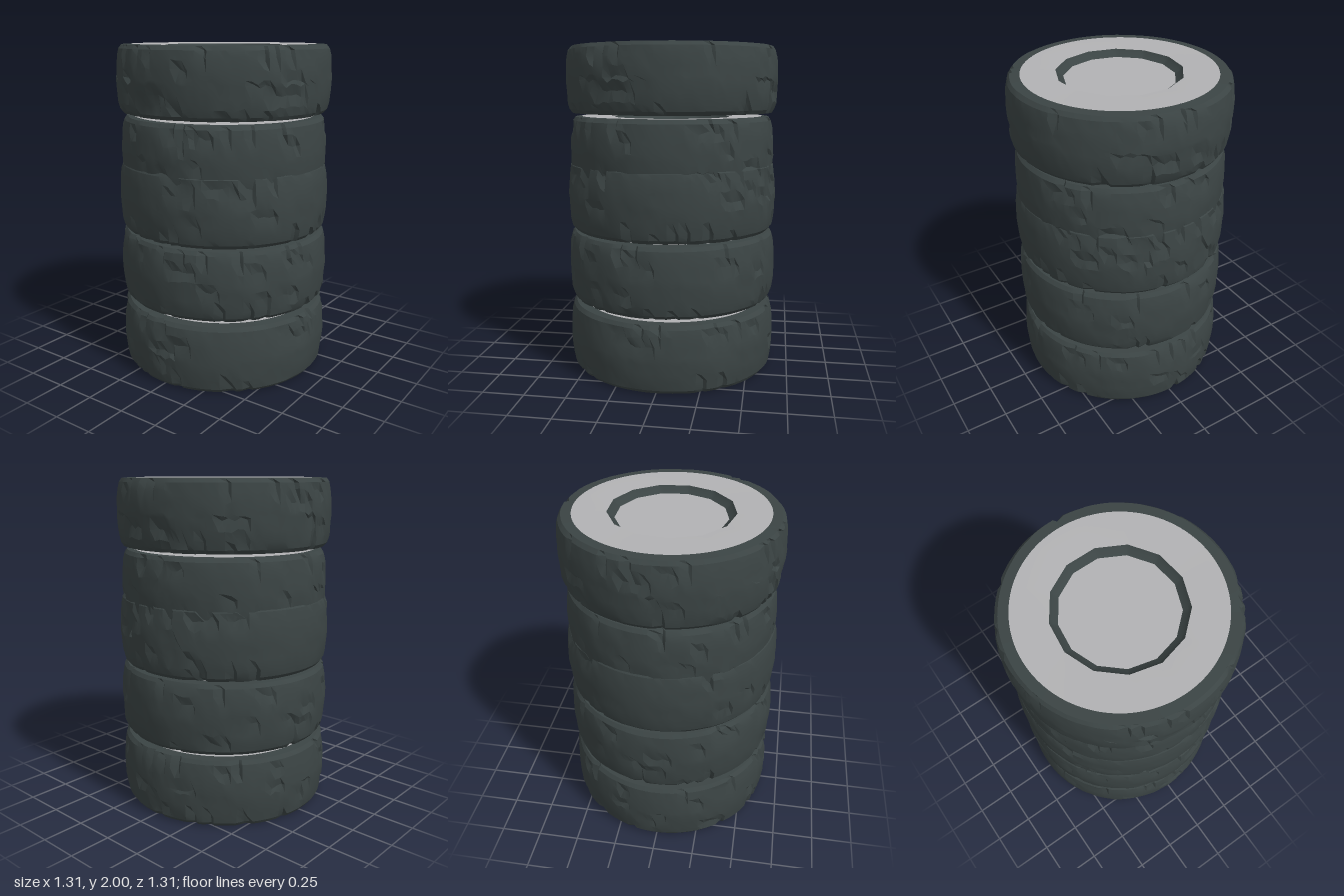
import * as THREE from 'three';
import { toCreasedNormals } from 'three/addons/utils/BufferGeometryUtils.js';

const HUB_SIDES = 13;
const TREAD_COLUMNS = 120;

// Small seeded random generator
function seeded(seed) {
  let s = seed;
  return () => {
    s = (s * 16807) % 2147483647;
    return s / 2147483647;
  };
}

function lathe(points, segments) {
  return new THREE.LatheGeometry(points.map(([r, y]) => new THREE.Vector2(r, y)), segments);
}

// Pulls the hub edge of a lathe into a straight-sided polygon
function polygonHub(geometry) {
  const p = geometry.attributes.position;
  const step = (Math.PI * 2) / HUB_SIDES;
  for (let i = 0; i < p.count; i++) {
    const x = p.getX(i), z = p.getZ(i);
    if (Math.hypot(x, z) > 0.45) continue;
    const a = Math.atan2(x, z) + Math.PI * 2;
    const k = Math.cos(step / 2) / Math.cos((a % step) - step / 2);
    p.setX(i, x * k);
    p.setZ(i, z * k);
  }
  return toCreasedNormals(geometry, 0.4);
}

// Rounded tread with worn dents and narrow cuts
function treadGeometry(radius, h, seed) {
  const rand = seeded(seed);
  const profile = [
    [0.56, 0], [radius - 0.035, 0.003], [radius - 0.018, 0.025], [radius - 0.008, 0.07],
    [radius - 0.003, 0.13], [radius, 0.19], [radius, h - 0.19], [radius - 0.003, h - 0.13],
    [radius - 0.008, h - 0.07], [radius - 0.018, h - 0.025], [radius - 0.035, h - 0.003], [0.56, h],
  ];
  const rows = profile.length;
  const geometry = lathe(profile, TREAD_COLUMNS);
  const depth = new Float32Array(TREAD_COLUMNS * rows);
  const cut = (c, r, d) => {
    if (r > 0 && r < rows - 1) depth[(c % TREAD_COLUMNS) * rows + r] = d;
  };
  // Upright cuts at both shoulders
  for (let n = 0; n < 34; n++) {
    const c = Math.floor(rand() * TREAD_COLUMNS);
    const start = n % 2 ? 1 : rows - 4;
    const length = 2 + Math.floor(rand() * 2);
    for (let k = 0; k < length; k++) cut(c, start + k, 0.012 + rand() * 0.01);
  }
  // Sideways cuts around the middle
  for (let n = 0; n < 22; n++) {
    const c = Math.floor(rand() * TREAD_COLUMNS);
    const r = 3 + Math.floor(rand() * (rows - 6));
    const length = 2 + Math.floor(rand() * 4);
    for (let k = 0; k < length; k++) cut(c + k, r, 0.01 + rand() * 0.008);
  }
  const p = geometry.attributes.position;
  const wobble = Array.from({ length: 24 * rows }, () => rand() * 0.005);
  for (let i = 0; i < p.count; i++) {
    const c = Math.floor(i / rows) % TREAD_COLUMNS, r = i % rows;
    if (r === 0 || r === rows - 1) continue;
    const d = depth[c * rows + r];
    const a = Math.atan2(p.getX(i), p.getZ(i)) + (d ? 0.028 : 0);
    const q = Math.hypot(p.getX(i), p.getZ(i)) - d - wobble[Math.floor(c / 5) * rows + r];
    const lift = r > 2 && r < rows - 3 ? (wobble[((c * 7) % 24) * rows + r] - 0.0025) * 5 : 0;
    p.setXYZ(i, Math.sin(a) * q, p.getY(i) + lift, Math.cos(a) * q);
  }
  return toCreasedNormals(geometry, 0.35);
}

export function createModel() {
  const group = new THREE.Group();
  const rubber = new THREE.MeshStandardMaterial({ color: 0x3b4444 });
  rubber.name = 'dark rubber';
  const grey = new THREE.MeshStandardMaterial({ color: 0xb2b2b4 });
  grey.name = 'light grey';

  function add(parent, name, geometry, material) {
    const mesh = new THREE.Mesh(geometry, material);
    mesh.name = name;
    parent.add(mesh);
    return mesh;
  }

  function makeTyre(name, y0, y1, radius, seed) {
    const tyre = new THREE.Group();
    const h = y1 - y0;
    tyre.name = name;
    tyre.position.y = y0;
    add(tyre, 'tread', treadGeometry(radius, h, seed), rubber);

    // Matching sidewall, hub lip and hub disc on each face
    for (const top of [false, true]) {
      const face = (points, segments = 104) => polygonHub(lathe(
        top ? points.map(([r, y]) => [r, h - y]).reverse() : points, segments));
      const side = top ? 'top' : 'bottom';
      add(tyre, side + 'Sidewall', face([[0.365, 0.006], [0.46, 0.002], [0.56, 0]]), grey);
      add(tyre, side + 'HubLip', face([[0.322, 0.042], [0.35, 0.025], [0.365, 0.006]]), rubber);
      add(tyre, side + 'HubDisc', face([[0, 0.042], [0.322, 0.042]]), grey);
    }
    group.add(tyre);
  }

  // Stack from the ground up; the two middle tyres are pressed into each other
  makeTyre('bottomTyre', 0.005, 0.42, 0.655, 11);
  makeTyre('secondTyre', 0.452, 0.877, 0.655, 207);
  makeTyre('thirdTyre', 0.887, 1.31, 0.653, 3301);
  makeTyre('fourthTyre', 1.16, 1.58, 0.635, 4507);
  makeTyre('topTyre', 1.598, 2, 0.655, 59011);

  // Scrap of rubber wedged in the lowest gap
  const scrap = add(group, 'rubberScrap', new THREE.DodecahedronGeometry(1, 0), rubber);
  scrap.scale.set(0.075, 0.025, 0.07);
  scrap.position.set(-0.32, 0.436, 0.3);

  return group;
}
